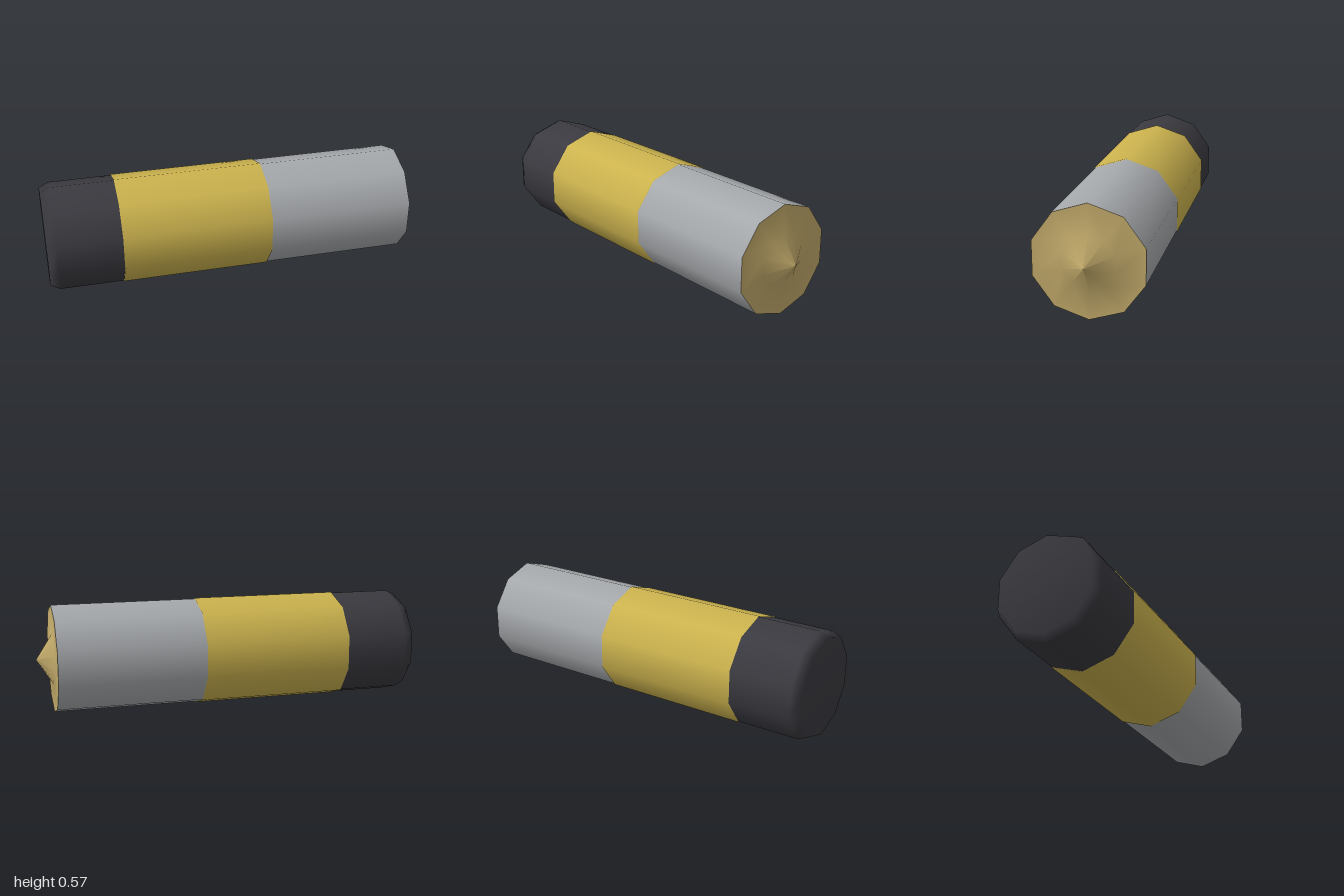
import * as THREE from 'three';

const R = 0.286; // band radius, also the height of the axis
const BODY = 0.282; // radius of the shaft

const paint = (name, color) => {
  const m = new THREE.MeshStandardMaterial({ color });
  m.name = name;
  return m;
};

// Ten-sided solid of revolution along x, from [x, radius] pairs
function turned(name, profile, material) {
  const points = profile.map(([x, r]) => new THREE.Vector2(r, x));
  const geometry = new THREE.LatheGeometry(points, 10, Math.PI / 2);
  geometry.rotateZ(-Math.PI / 2);
  const mesh = new THREE.Mesh(geometry, material);
  mesh.name = name;
  mesh.position.y = R;
  return mesh;
}

export function createModel() {
  const dark = paint('charcoal', 0x3a3a40);
  const gold = paint('gold', 0xccb34e);
  const grey = paint('grey', 0xa6a9ac);
  const tan = paint('tan', 0xc2aa6a);

  const group = new THREE.Group();
  group.name = 'cartridge';
  group.add(
    // Chamfered rear cap
    turned('rearCap', [[-1, 0], [-1, 0.258], [-0.95, BODY], [-0.61, BODY]], dark),
    // Slightly raised middle band with closed rims
    turned('middleBand', [[-0.62, 0.27], [-0.62, R], [0.157, R], [0.157, 0.27]], gold),
    // Plain front shaft
    turned('frontShaft', [[0.15, BODY], [0.915, BODY]], grey),
    // Flat end face rising to a small pointed tip
    turned('tipFace', [[0.915, BODY], [0.915, 0.133], [1, 0]], tan)
  );
  return group;
}
